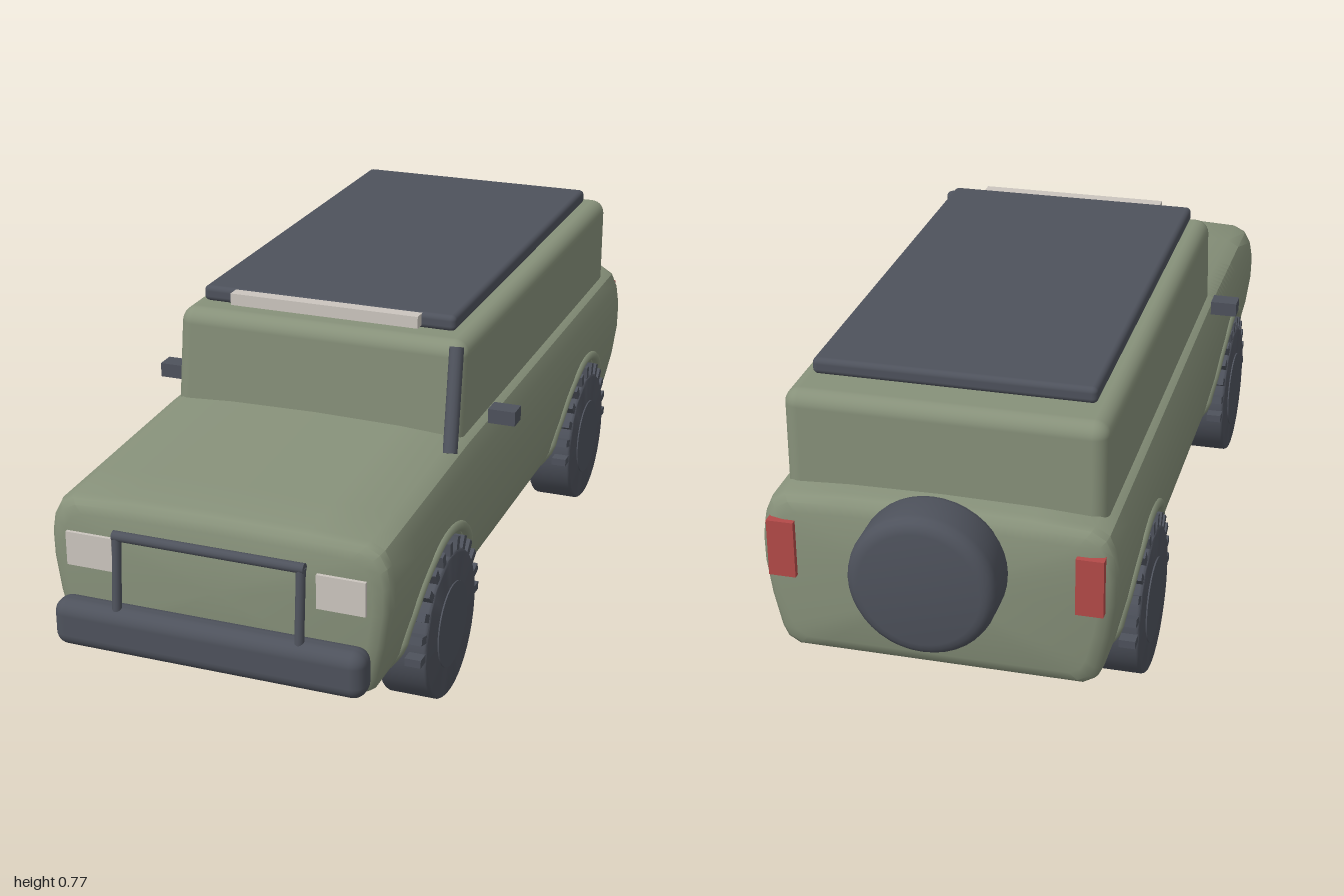
import * as THREE from 'three';
import { toCreasedNormals } from 'three/addons/utils/BufferGeometryUtils.js';
import { RoundedBoxGeometry } from 'three/addons/geometries/RoundedBoxGeometry.js';

const mat = (name, color) => {
  const m = new THREE.MeshStandardMaterial({ color });
  m.name = name;
  return m;
};

const WHEEL_Z = [-0.525, 0.575], WHEEL_Y = 0.166, ARCH_R = 0.205;

// Half cross-section of the lower body, from sill to bonnet centre: [x, y]
const SECTION = [[0.31, 0.16], [0.335, 0.175], [0.347, 0.2], [0.365, 0.28], [0.376, 0.36],
  [0.377, 0.42], [0.37, 0.47], [0.355, 0.505], [0.325, 0.524], [0.2, 0.531], [0, 0.534]];

// Side x of the lower body at height y
function sideX(y) {
  for (let i = 1; i < SECTION.length; i++) {
    const [x0, y0] = SECTION[i - 1], [x1, y1] = SECTION[i];
    if (y <= y1) return x0 + (x1 - x0) * Math.max(0, (y - y0) / (y1 - y0));
  }
  return 0;
}

// One closed ring; sill is the lower edge of the side, inset rounds the ends
function bodyRing(z, sill, inset) {
  const drop = z > 0.38 ? (z - 0.38) * 0.045 : 0;
  const half = [[0, 0.16], [0.26, 0.16], [0.26, sill]];
  for (const [x, y] of SECTION) {
    const yy = Math.max(y, sill);
    half.push([y < sill ? sideX(sill) : x, yy - drop * Math.max(0, (yy - 0.4) / 0.13)]);
  }
  const ring = [...half, ...half.slice(1, -1).reverse().map(([x, y]) => [-x, y])];
  return ring.map(([x, y]) => [x * (1 - inset / 0.37), 0.345 + (y - 0.345) * (1 - inset / 0.185), z]);
}

// Lower body lofted from back to front, with open wheel arches
function lowerBodyGeometry() {
  const rings = [bodyRing(-0.892, 0.16, 0.035), bodyRing(-0.885, 0.16, 0.015), bodyRing(-0.872, 0.16, 0.004),
    bodyRing(-0.855, 0.16, 0)];
  for (const zc of WHEEL_Z) {
    rings.push(bodyRing(zc - ARCH_R - 0.0005, 0.16, 0));
    for (let k = 0; k <= 24; k++) {
      const a = Math.PI * k / 24;
      rings.push(bodyRing(zc - ARCH_R * Math.cos(a), WHEEL_Y + ARCH_R * Math.sin(a), 0));
    }
    rings.push(bodyRing(zc + ARCH_R + 0.0005, 0.16, 0));
  }
  rings.push(bodyRing(0.9, 0.16, 0), bodyRing(0.918, 0.16, 0.004), bodyRing(0.93, 0.16, 0.015),
    bodyRing(0.936, 0.16, 0.035));
  const n = rings[0].length, last = rings.length - 1;
  const pos = rings.flat(2), index = [];
  for (let s = 0; s < last; s++) {
    for (let i = 0; i < n; i++) {
      const j = (i + 1) % n;
      const a = s * n + i, b = s * n + j, c = b + n, d = a + n;
      index.push(a, b, c, a, c, d);
    }
  }
  const back = rings.length * n, front = back + 1;
  pos.push(0, 0.345, -0.892, 0, 0.345, 0.936);
  for (let i = 0; i < n; i++) {
    const j = (i + 1) % n;
    index.push(back, j, i, front, last * n + i, last * n + j);
  }
  const g = new THREE.BufferGeometry();
  g.setAttribute('position', new THREE.Float32BufferAttribute(pos, 3));
  g.setIndex(index);
  return toCreasedNormals(g, 0.6);
}

// Round-edged drum about the y axis
function drumGeometry(radius, width, bevel) {
  const h = width / 2, pts = [new THREE.Vector2(0, -h)];
  for (const side of [-1, 1]) {
    for (let k = 0; k <= 4; k++) {
      const a = (side < 0 ? k : 4 - k) * Math.PI / 8;
      pts.push(new THREE.Vector2(radius - bevel + bevel * Math.sin(a), side * (h - bevel + bevel * Math.cos(a))));
    }
  }
  pts.push(new THREE.Vector2(0, h));
  return toCreasedNormals(new THREE.LatheGeometry(pts, 40), 0.6);
}

export function createModel() {
  const model = new THREE.Group();
  model.name = 'offRoadCar';
  const green = mat('olive paint', 0x87917a);
  const dark = mat('dark trim', 0x4e525c);
  const light = mat('lamp glass', 0xcbc5be);
  const red = mat('tail lamp red', 0xb34a48);

  const add = (name, geo, material, x = 0, y = 0, z = 0, parent = model) => {
    const m = new THREE.Mesh(geo, material);
    m.name = name;
    m.position.set(x, y, z);
    parent.add(m);
    return m;
  };
  const box = (w, h, d) => new THREE.BoxGeometry(w, h, d);
  const rod = (name, a, b, r) => {
    const p = new THREE.Vector3(...a), q = new THREE.Vector3(...b);
    const m = add(name, new THREE.CylinderGeometry(r, r, p.distanceTo(q), 14), dark);
    m.position.copy(p).lerp(q, 0.5);
    m.quaternion.setFromUnitVectors(new THREE.Vector3(0, 1, 0), q.sub(p).normalize());
  };

  // Body
  add('lowerBody', lowerBodyGeometry(), green);
  add('underbody', box(0.54, 0.015, 0.48), green, 0, 0.16, 0.16);

  // Cabin with a slightly raked front
  const cabin = new RoundedBoxGeometry(0.68, 0.25, 1.205, 4, 0.033);
  const p = cabin.attributes.position;
  for (let i = 0; i < p.count; i++) {
    if (p.getZ(i) > 0.3) p.setZ(i, p.getZ(i) + (0.1 - p.getY(i)) * 0.15 - 0.012);
  }
  add('cabin', cabin, green, 0, 0.601, -0.2175);

  // Roof rack and light bar
  add('roofRack', new RoundedBoxGeometry(0.6, 0.036, 1.06, 3, 0.012), dark, 0, 0.75, -0.21);
  add('roofLightBar', box(0.444, 0.027, 0.03), light, 0, 0.753, 0.329);

  // Raised intake pipe beside the windscreen
  rod('intakePipe', [0.323, 0.722, 0.378], [0.342, 0.515, 0.47], 0.016);

  // Front bumper and guard bar
  add('frontBumper', new RoundedBoxGeometry(0.69, 0.104, 0.068, 4, 0.03), dark, 0, 0.242, 0.966);
  rod('guardTopBar', [-0.21, 0.45, 0.962], [0.21, 0.45, 0.962], 0.011);

  for (const s of [-1, 1]) {
    rod('guardPost', [s * 0.202, 0.275, 0.978], [s * 0.202, 0.45, 0.962], 0.01);
    add('headlight', box(0.105, 0.075, 0.016), light, s * 0.278, 0.393, 0.936);
    add('tailLight', box(0.058, 0.128, 0.024), red, s * 0.325, 0.408, -0.893);
    add('mirror', box(0.062, 0.033, 0.045), dark, s * 0.4, 0.536, 0.268);

    for (const zc of WHEEL_Z) {
      // Arch lip following the curve of the side
      const lip = [];
      for (let k = 0; k <= 16; k++) {
        const a = Math.PI * k / 16, y = WHEEL_Y + 0.212 * Math.sin(a);
        lip.push(new THREE.Vector3(s * (sideX(y) - 0.003), y, zc + 0.212 * Math.cos(a)));
      }
      add('archLip', new THREE.TubeGeometry(new THREE.CatmullRomCurve3(lip), 32, 0.012, 8), green);

      // Wheel with hub disc and tread blocks
      const wheel = new THREE.Group();
      wheel.name = 'wheel';
      wheel.position.set(s * 0.331, WHEEL_Y, zc);
      model.add(wheel);
      add('tyre', drumGeometry(0.164, 0.112, 0.008), dark, 0, 0, 0, wheel).rotation.z = Math.PI / 2;
      add('hub', new THREE.CylinderGeometry(0.095, 0.095, 0.006, 32), dark, s * 0.056, 0, 0, wheel)
        .rotation.z = Math.PI / 2;
      for (let k = 0; k <= 12; k++) {
        const a = Math.PI * k / 12;
        const block = add('treadBlock', box(0.036, 0.03, 0.018), dark,
          s * 0.035, 0.177 * Math.sin(a), 0.177 * Math.cos(a), wheel);
        block.rotation.x = Math.PI / 2 - a;
      }
    }
  }

  // Spare wheel on the tail
  add('spareWheel', drumGeometry(0.156, 0.13, 0.03), dark, 0, 0.412, -0.935).rotation.x = Math.PI / 2;
  return model;
}
